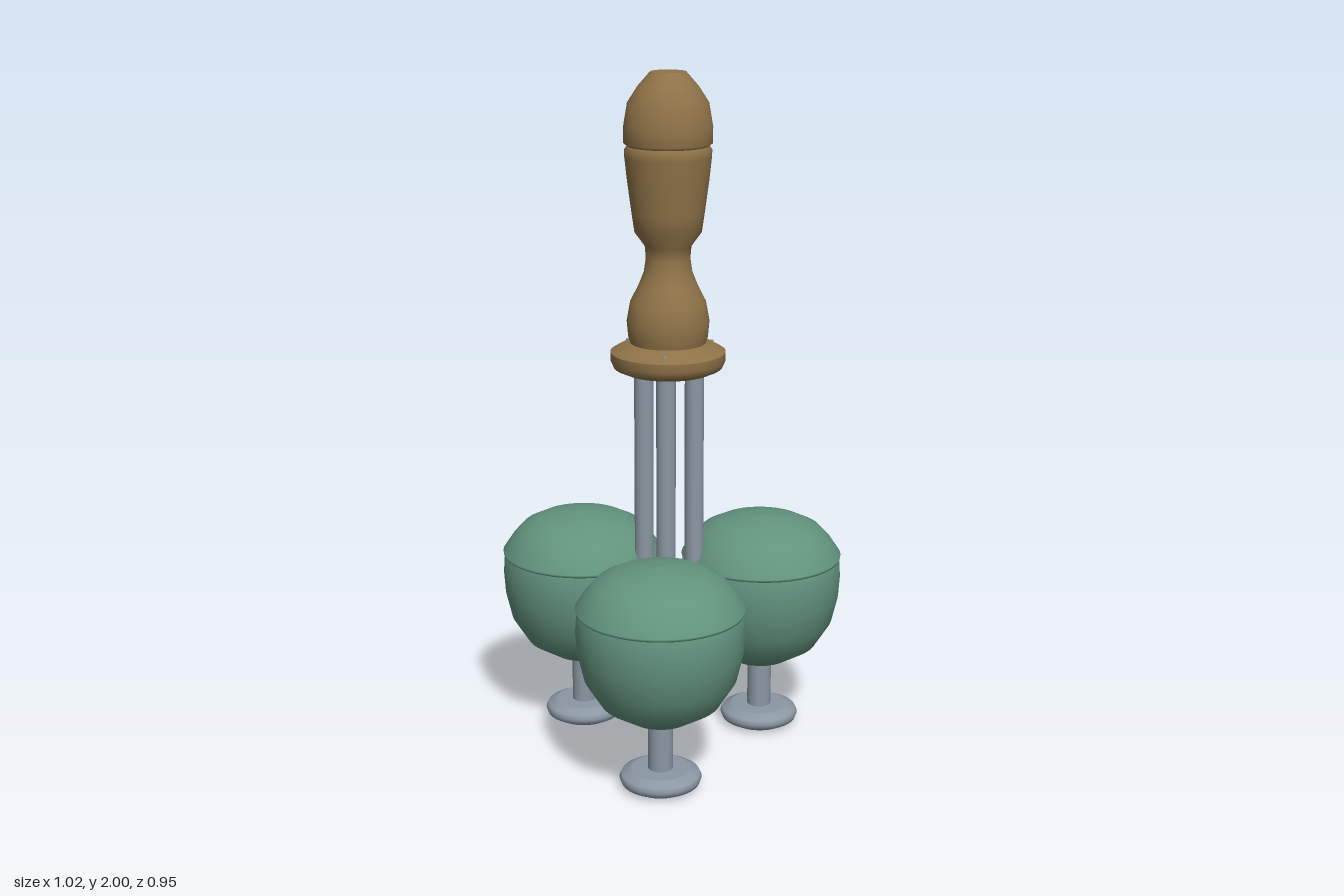
import * as THREE from 'three';

const wood = new THREE.MeshStandardMaterial({ color: 0x8f7348 });
wood.name = 'wood brown';
const green = new THREE.MeshStandardMaterial({ color: 0x62937d });
green.name = 'sage green';
const steel = new THREE.MeshStandardMaterial({ color: 0x8b97a4 });
steel.name = 'steel grey';

// Turned part; a repeated point in the profile makes a sharp edge
function turned(name, profile, material, segments = 48) {
  const points = profile.map(([r, y]) => new THREE.Vector2(r, y));
  const mesh = new THREE.Mesh(new THREE.LatheGeometry(points, segments), material);
  mesh.name = name;
  return mesh;
}

function rod(name, radius, bottom, top, material, sides = 24) {
  const geometry = new THREE.CylinderGeometry(radius, radius, top - bottom, sides);
  geometry.translate(0, (top + bottom) / 2, 0);
  const mesh = new THREE.Mesh(geometry, material);
  mesh.name = name;
  return mesh;
}

const bowlProfile = [
  [0, 0.2], [0.09, 0.215], [0.17, 0.265], [0.217, 0.34], [0.236, 0.42],
  [0.24, 0.48], [0.236, 0.535], [0.225, 0.545],
];
const lidProfile = [
  [0.222, 0.535], [0.238, 0.54], [0.24, 0.548], [0.212, 0.59],
  [0.18, 0.625], [0.13, 0.65], [0.06, 0.664], [0, 0.67],
];
const footProfile = [
  [0, 0], [0.085, 0], [0.085, 0], [0.112, 0.015], [0.118, 0.03],
  [0.112, 0.043], [0.085, 0.056], [0.085, 0.056], [0, 0.058],
];
const flangeProfile = [
  [0, 1.153], [0.13, 1.153], [0.13, 1.153], [0.156, 1.165], [0.165, 1.185],
  [0.165, 1.21], [0.165, 1.21], [0.12, 1.236], [0.08, 1.24], [0, 1.24],
];
const gripProfile = [
  [0.105, 1.225], [0.114, 1.255], [0.118, 1.3], [0.108, 1.355], [0.085, 1.4],
  [0.069, 1.44], [0.063, 1.48], [0.066, 1.515], [0.095, 1.555], [0.103, 1.61],
  [0.115, 1.7], [0.122, 1.765], [0.123, 1.785], [0.115, 1.797], [0.115, 1.797],
  [0.125, 1.805], [0.125, 1.85], [0.114, 1.915], [0.085, 1.96], [0.05, 2],
  [0.05, 2], [0, 2],
];

export function createModel() {
  const model = new THREE.Group();
  const axis = new THREE.Group();
  axis.name = 'body';
  axis.position.z = -0.078;
  model.add(axis);

  // Handle
  axis.add(turned('handleFlange', flangeProfile, wood));
  axis.add(turned('handleGrip', gripProfile, wood));

  // Three arms around the handle axis
  for (let i = 0; i < 3; i++) {
    const arm = new THREE.Group();
    arm.name = `arm${i + 1}`;
    arm.rotation.y = (i * Math.PI * 2) / 3;

    const shaft = rod('supportRod', 0.028, 0.25, 1.18, steel);
    shaft.position.z = 0.085;
    const pin = rod('flangePin', 0.006, 1.19, 1.227, steel, 8);
    pin.position.z = 0.14;

    const pod = new THREE.Group();
    pod.name = 'pod';
    pod.position.z = 0.313;
    pod.add(
      turned('podBowl', bowlProfile, green),
      turned('podLid', lidProfile, green),
      rod('podStem', 0.036, 0.05, 0.22, steel),
      turned('podFoot', footProfile, steel),
    );

    arm.add(shaft, pin, pod);
    axis.add(arm);
  }
  return model;
}
